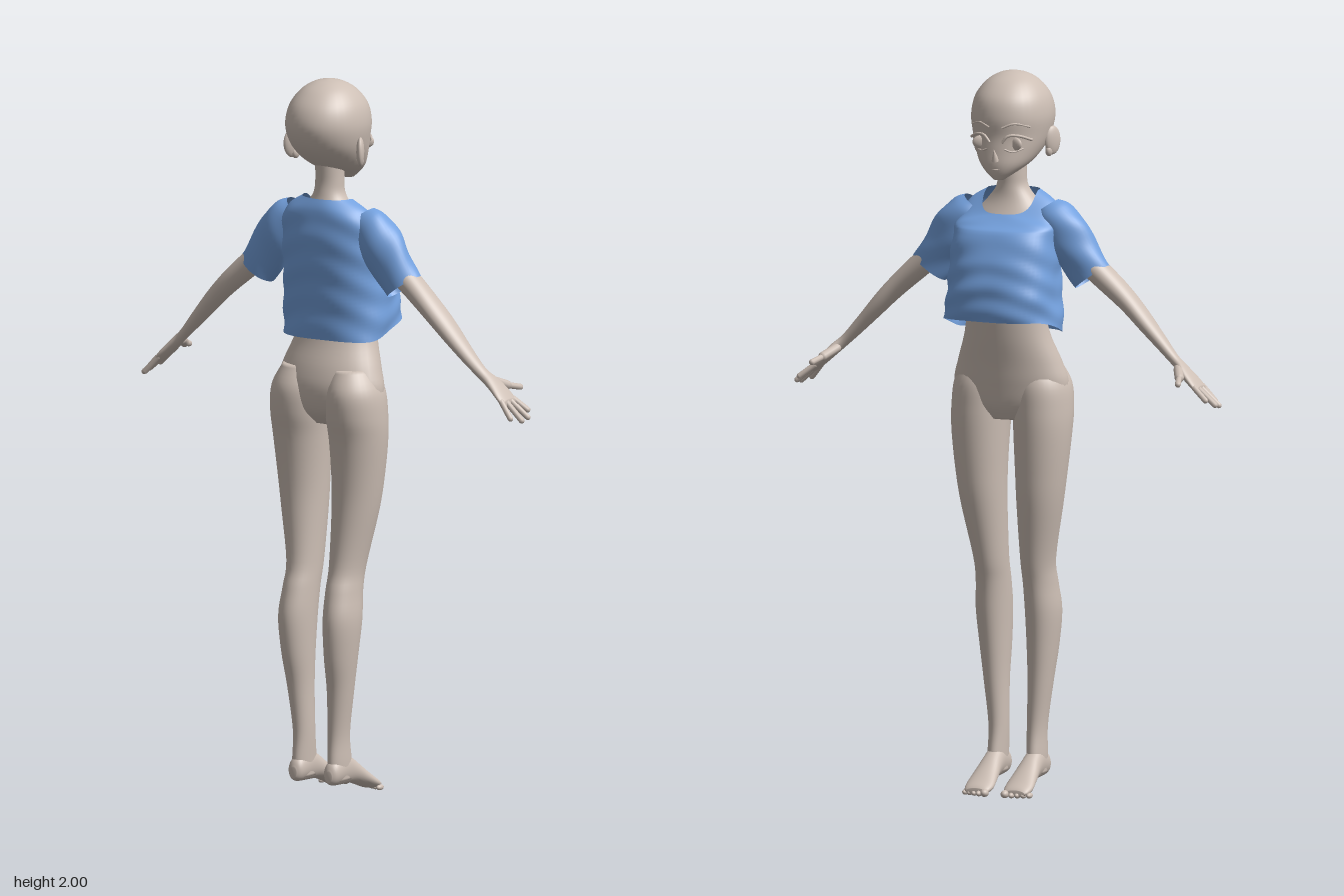
import * as THREE from 'three';

const skin = new THREE.MeshStandardMaterial({ color: 0xcdbfb5 });
skin.name = 'skin';
const cloth = new THREE.MeshStandardMaterial({ color: 0x74a1de, side: THREE.DoubleSide });
cloth.name = 'blue cloth';

// Catmull-Rom blend of one column of a ring list
function blend(rings, u, k) {
  const n = rings.length - 1, i = Math.min(Math.floor(u), n - 1), t = u - i;
  const p = j => rings[Math.max(0, Math.min(n, j))][k];
  const [a, b, c, d] = [p(i - 1), p(i), p(i + 1), p(i + 2)];
  return b + 0.5 * t * (c - a + t * (2 * a - 5 * b + 4 * c - d + t * (3 * (b - c) + d - a)));
}

// Smooth loft upward through rings [height, centreX, radiusX, zFront, zBack]
function loft(rings, { power = 2, seg = 36, sub = 5, open = false, rule = null } = {}) {
  const pos = [], idx = [], rows = (rings.length - 1) * sub;
  const first = open ? 0 : -1, last = open ? rows : rows + 1;
  for (let r = first; r <= last; r++) {
    const u = Math.max(0, Math.min(rows, r)) / sub;
    const [h, cx, rx, zf, zb] = [0, 1, 2, 3, 4].map(k => blend(rings, u, k));
    const s = r < 0 || r > rows ? 0.001 : 1;
    for (let j = 0; j < seg; j++) {
      const a = j / seg * Math.PI * 2, c = Math.cos(a), d = Math.sin(a);
      const q = s / Math.pow(Math.abs(c) ** power + Math.abs(d) ** power, 1 / power);
      const v = new THREE.Vector3(cx + rx * c * q, h, (zf + zb) / 2 + (zb - zf) / 2 * d * q);
      if (rule) rule(v, a);
      pos.push(v.x, v.y, v.z);
    }
  }
  for (let r = 0; r < last - first; r++) {
    for (let j = 0; j < seg; j++) {
      const a = r * seg + j, b = r * seg + (j + 1) % seg;
      idx.push(a, a + seg, b, b, a + seg, b + seg);
    }
  }
  const g = new THREE.BufferGeometry();
  g.setAttribute('position', new THREE.Float32BufferAttribute(pos, 3));
  g.setIndex(idx);
  g.computeVertexNormals();
  return g;
}

function add(parent, name, geometry, material = skin) {
  const m = new THREE.Mesh(geometry, material);
  m.name = name;
  parent.add(m);
  return m;
}

function ellipsoid(parent, name, p, s, turn = 0) {
  const m = add(parent, name, new THREE.SphereGeometry(1, 20, 14));
  m.position.set(...p);
  m.scale.set(...s);
  m.rotation.y = turn;
  return m;
}

function tube(parent, name, points, radius) {
  const curve = new THREE.CatmullRomCurve3(points.map(p => new THREE.Vector3(...p)));
  return add(parent, name, new THREE.TubeGeometry(curve, 12, radius, 8));
}

// Rounded finger between two points
function finger(parent, name, a, b, radius) {
  const A = new THREE.Vector3(...a), d = new THREE.Vector3(...b).sub(A);
  const m = add(parent, name, new THREE.CapsuleGeometry(radius, d.length() - radius, 4, 10));
  m.position.copy(A).addScaledVector(d, 0.5);
  m.quaternion.setFromUnitVectors(new THREE.Vector3(0, 1, 0), d.normalize());
}

// Limbs and facial features of one side, on +x
function buildSide() {
  const g = new THREE.Group();
  add(g, 'leg', loft([
    [0.05, 0.058, 0.024, 0.015, 0.115], [0.1, 0.058, 0.026, 0.022, 0.115], [0.18, 0.057, 0.027, 0.033, 0.11],
    [0.3, 0.065, 0.034, 0.03, 0.12], [0.4, 0.07, 0.042, 0.022, 0.138], [0.5, 0.073, 0.048, 0.01, 0.145],
    [0.58, 0.07, 0.046, 0, 0.128], [0.65, 0.07, 0.047, -0.016, 0.108], [0.8, 0.083, 0.063, -0.045, 0.1],
    [0.9, 0.089, 0.072, -0.055, 0.102], [1.0, 0.092, 0.08, -0.06, 0.112], [1.07, 0.091, 0.083, -0.06, 0.126],
    [1.14, 0.088, 0.078, -0.055, 0.128], [1.2, 0.08, 0.055, -0.03, 0.1],
  ]));

  // Foot runs from heel to toes, then is laid down
  const foot = loft([
    [-0.125, 0.058, 0.01, 0.05, 0.08], [-0.11, 0.058, 0.023, 0.04, 0.105], [-0.06, 0.058, 0.027, 0.036, 0.125],
    [-0.02, 0.058, 0.03, 0.033, 0.105], [0.02, 0.058, 0.036, 0.02, 0.075], [0.06, 0.058, 0.041, 0.006, 0.046],
    [0.085, 0.058, 0.036, 0.003, 0.03], [0.094, 0.058, 0.028, 0.005, 0.022],
  ]);
  add(g, 'foot', foot.rotateX(-Math.PI / 2));
  for (let i = 0; i < 5; i++) {
    const r = i ? 0.008 : 0.011;
    ellipsoid(g, 'toe', [0.03 + i * 0.0155 + (i ? 0.003 : 0), r, -0.096 + i * 0.005], [r, r, 0.015]);
  }

  // Arm runs outward along x
  const arm = loft([
    [0.1, -1.59, 0.04, -0.01, 0.065], [0.17, -1.535, 0.05, -0.015, 0.065], [0.25, -1.465, 0.045, -0.015, 0.062],
    [0.33, -1.395, 0.04, -0.012, 0.066], [0.39, -1.335, 0.036, -0.012, 0.06], [0.45, -1.27, 0.027, -0.006, 0.046],
    [0.495, -1.222, 0.02, -0.006, 0.032], [0.525, -1.195, 0.02, -0.025, 0.034], [0.555, -1.167, 0.017, -0.034, 0.04],
    [0.575, -1.148, 0.012, -0.032, 0.038],
  ]);
  add(g, 'arm', arm.rotateZ(-Math.PI / 2));
  const tips = [[0.606, 1.125, -0.042], [0.624, 1.11, -0.015], [0.623, 1.105, 0.014], [0.602, 1.112, 0.04]];
  tips.forEach((tip, i) => finger(g, 'finger', [0.562, 1.16, -0.026 + i * 0.019], tip, 0.008));
  finger(g, 'thumbBase', [0.505, 1.208, 0], [0.532, 1.185, -0.055], 0.013);
  finger(g, 'thumb', [0.527, 1.188, -0.045], [0.545, 1.175, -0.098], 0.0085);

  // Short sleeve
  const sleeve = add(g, 'sleeve', loft([
    [-0.03, 0, 0.035, -0.035, 0.035], [0, 0, 0.056, -0.05, 0.05], [0.06, 0, 0.068, -0.056, 0.056],
    [0.13, 0, 0.062, -0.048, 0.048], [0.2, 0, 0.058, -0.043, 0.043],
  ], {
    open: true, rule: (v, a) => {
      const w = 1 + 0.03 * Math.sin(3 * a + v.y * 50);
      v.x *= w;
      v.z *= w;
    },
  }), cloth);
  sleeve.rotation.z = -2.526;
  sleeve.position.set(0.125, 1.605, 0.025);

  // Ear, eye, lashes and brow
  ellipsoid(g, 'ear', [0.112, 1.81, 0.048], [0.011, 0.04, 0.026], 0.5);
  ellipsoid(g, 'earLobe', [0.105, 1.782, 0.04], [0.01, 0.016, 0.014]);
  ellipsoid(g, 'eye', [0.049, 1.812, -0.07], [0.026, 0.019, 0.009], 0.42);
  tube(g, 'upperLashes', [[0.018, 1.815, -0.089], [0.035, 1.834, -0.087], [0.06, 1.835, -0.074], [0.09, 1.822, -0.045]], 0.004);
  tube(g, 'lowerLid', [[0.025, 1.797, -0.087], [0.045, 1.79, -0.081], [0.07, 1.798, -0.058]], 0.0025);
  tube(g, 'brow', [[0.018, 1.856, -0.09], [0.05, 1.868, -0.08], [0.085, 1.858, -0.048]], 0.003);
  return g;
}

export function createModel() {
  const model = new THREE.Group();
  model.name = 'figure';

  add(model, 'torso', loft([
    [1.04, 0, 0.08, -0.035, 0.07], [1.08, 0, 0.15, -0.055, 0.105], [1.14, 0, 0.166, -0.066, 0.118],
    [1.2, 0, 0.15, -0.075, 0.108], [1.28, 0, 0.122, -0.09, 0.08], [1.36, 0, 0.112, -0.1, 0.07],
    [1.5, 0, 0.12, -0.1, 0.085], [1.59, 0, 0.115, -0.045, 0.09], [1.64, 0, 0.075, -0.02, 0.085],
    [1.68, 0, 0.045, -0.012, 0.075], [1.72, 0, 0.04, -0.012, 0.07], [1.78, 0, 0.04, -0.015, 0.075],
  ]));

  add(model, 'head', loft([
    [1.71, 0, 0.014, -0.08, -0.05], [1.73, 0, 0.042, -0.09, -0.005], [1.755, 0, 0.07, -0.094, 0.06],
    [1.79, 0, 0.091, -0.091, 0.115], [1.83, 0, 0.105, -0.088, 0.15], [1.88, 0, 0.112, -0.092, 0.165],
    [1.93, 0, 0.102, -0.08, 0.152], [1.97, 0, 0.074, -0.045, 0.117], [1.992, 0, 0.04, -0.006, 0.078],
    [2.0, 0, 0.006, 0.028, 0.042],
  ], { power: 2.1 }));
  const nose = add(model, 'nose', new THREE.ConeGeometry(0.011, 0.036, 12));
  nose.position.set(0, 1.782, -0.097);
  nose.rotation.x = -0.35;
  tube(model, 'mouth', [[-0.018, 1.742, -0.087], [0, 1.74, -0.092], [0.018, 1.742, -0.087]], 0.0025);

  // Loose cropped shirt: raised front hem, scooped neckline, soft folds
  add(model, 'shirt', loft([
    [1.28, 0, 0.162, -0.155, 0.098], [1.35, 0, 0.158, -0.157, 0.098], [1.44, 0, 0.152, -0.147, 0.105],
    [1.53, 0, 0.15, -0.125, 0.112], [1.6, 0, 0.145, -0.085, 0.11], [1.64, 0, 0.125, -0.062, 0.103],
    [1.672, 0, 0.075, -0.048, 0.092],
  ], {
    power: 2.6, seg: 72, sub: 8, open: true, rule: (v, a) => {
      const front = THREE.MathUtils.smoothstep(-v.z, -0.06, 0.13);
      const low = Math.max(0, (1.5 - v.y) / 0.22), high = Math.max(0, (v.y - 1.57) / 0.1);
      const fold = 1 + 0.022 * Math.sin(5 * a + v.y * 28) * low + 0.014 * Math.sin(v.y * 75 + 3 * Math.cos(2 * a));
      v.x *= fold;
      v.z *= fold;
      v.y += 0.045 * front * low - 0.06 * THREE.MathUtils.smoothstep(-v.z, -0.04, 0.05) * high;
    },
  }), cloth);

  const left = buildSide(), right = buildSide();
  left.name = 'leftSide';
  right.name = 'rightSide';
  right.scale.x = -1;
  model.add(left, right);
  return model;
}
